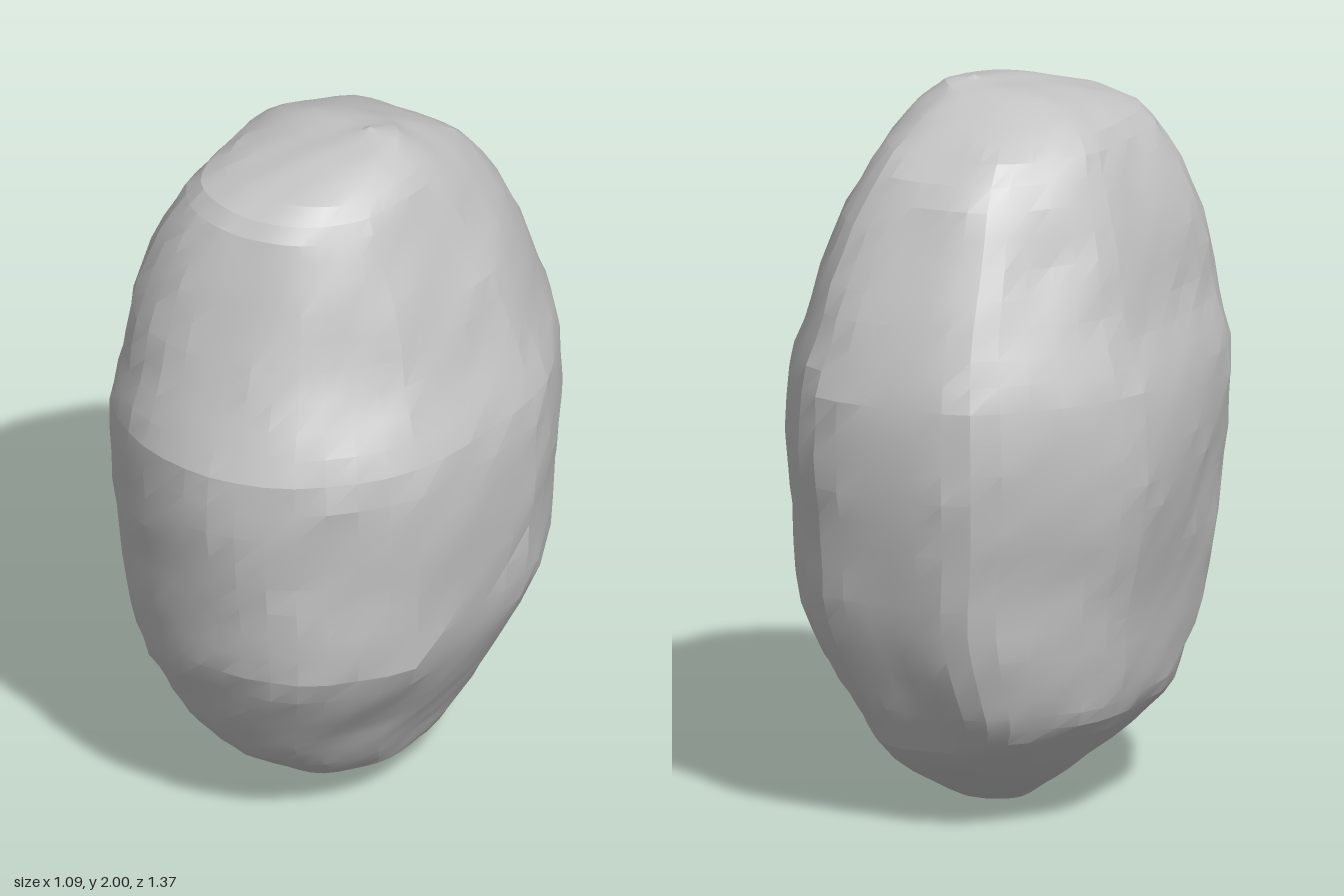
import * as THREE from 'three';
import { toCreasedNormals } from 'three/addons/utils/BufferGeometryUtils.js';

// Height, then the reach of the stone to -x, +x, -z and +z
const sections = [
  [0, -0.03, -0.03, 0, 0],
  [0.012, -0.07, 0.03, -0.08, 0.07],
  [0.04, -0.11, 0.11, -0.18, 0.16],
  [0.1, -0.2, 0.24, -0.29, 0.28],
  [0.2, -0.32, 0.3, -0.43, 0.42],
  [0.3, -0.415, 0.355, -0.49, 0.5],
  [0.42, -0.445, 0.42, -0.545, 0.56],
  [0.6, -0.47, 0.5, -0.61, 0.63],
  [0.8, -0.52, 0.53, -0.65, 0.66],
  [1.0, -0.55, 0.55, -0.68, 0.685],
  [1.22, -0.54, 0.54, -0.675, 0.68],
  [1.4, -0.48, 0.47, -0.62, 0.605],
  [1.6, -0.435, 0.41, -0.53, 0.525],
  [1.78, -0.37, 0.335, -0.435, 0.465],
  [1.9, -0.29, 0.275, -0.29, 0.39],
  [1.965, -0.14, 0.2, -0.15, 0.19],
  [1.99, 0.02, 0.16, -0.09, 0.05],
  [2, 0.09, 0.09, -0.02, -0.02],
];

// Plan outline, anticlockwise from the front when seen from above
const outline = [
  [0.04, 0.685], [0.27, 0.6], [0.4, 0.48], [0.5, 0.35], [0.53, 0.18], [0.555, 0],
  [0.555, -0.16], [0.52, -0.26], [0.4, -0.48], [0.28, -0.655], [0.18, -0.685],
  [0, -0.68], [-0.28, -0.63], [-0.4, -0.48], [-0.555, -0.22], [-0.53, 0],
  [-0.49, 0.14], [-0.45, 0.4], [-0.38, 0.52], [-0.06, 0.68],
];

// Shallow dents: centre x, y, z, radius, depth
const dents = [
  [0.32, 1.5, 0.4, 0.12, 0.018], [0.3, 0.95, 0.55, 0.12, 0.015], [-0.28, 0.35, 0.4, 0.12, 0.025],
  [0.33, 0.35, 0.3, 0.14, 0.015], [-0.46, 0.9, 0.35, 0.12, 0.018], [0.32, 1.7, -0.1, 0.12, 0.015],
  [-0.4, 0.7, -0.45, 0.13, 0.015], [-0.3, 1.6, -0.35, 0.12, 0.015],
];

// Broad and fine unevenness of the surface
function bump(p) {
  return 0.003 * Math.sin(9 * p.x + 5 * p.y + 1) * Math.sin(8 * p.z - 6 * p.y + 2)
    + 0.004 * Math.sin(17 * p.x - 11 * p.y) * Math.cos(15 * p.z + 13 * p.y)
    + 0.003 * Math.sin(31 * p.y + 19 * p.x) * Math.sin(29 * p.z + 23 * p.x) - 0.003;
}

// Softens a plan point halfway towards an even, slightly boxy oval
function soften(u) {
  const angle = Math.atan2(u.x, u.z), power = 2.15;
  const oval = (Math.abs(Math.sin(angle)) ** power + Math.abs(Math.cos(angle)) ** power) ** (-1 / power);
  return u.setLength((u.length() + oval) / 2);
}

// Fuller corners: two shoulders in the upper half, all four around the lower body
function shoulder(u, y) {
  const upper = Math.exp(-(((y - 1.62) / 0.3) ** 2));
  const lower = Math.exp(-(((y - 0.5) / 0.25) ** 2));
  return 1 + Math.max(0, -u.x * u.z) * upper * (u.x < 0 ? 0.26 : 0.12)
    + Math.abs(u.x * u.z) * lower * 0.09;
}

function buildStone(rows, columns) {
  const curves = [1, 2, 3, 4].map(i =>
    new THREE.SplineCurve(sections.map(s => new THREE.Vector2(s[i], s[0]))));
  const plan = new THREE.CatmullRomCurve3(
    outline.map(([x, z]) => new THREE.Vector3(x / 0.555, 0, z / 0.685)), true);
  const ring = plan.getSpacedPoints(columns).slice(0, columns).map(soften);
  const positions = [], index = [];
  const p = new THREE.Vector3(), out = new THREE.Vector3(), d = new THREE.Vector3();

  for (let r = 0; r <= rows; r++) {
    const [x0, x1, z0, z1] = curves.map(c => c.getPoint(r / rows));
    const isPole = r === 0 || r === rows;
    for (let c = 0; c < columns; c++) {
      const u = ring[c], wide = shoulder(u, x0.y);
      p.set((x0.x + x1.x) / 2 + wide * u.x * (x1.x - x0.x) / 2, x0.y,
        (z0.x + z1.x) / 2 + wide * u.z * (z1.x - z0.x) / 2);
      if (!isPole) {
        out.set(p.x / 0.31, p.y - 1, p.z / 0.47).normalize();
        let offset = bump(p);
        for (const [x, y, z, radius, depth] of dents) {
          offset -= depth * Math.exp(-d.set(x, y, z).distanceToSquared(p) / (radius * radius));
        }
        p.addScaledVector(out, offset);
        p.y = THREE.MathUtils.clamp(p.y, 0.002, 1.998);
      }
      positions.push(p.x, p.y, p.z);
    }
  }
  // Quads around the body, single triangles at the two poles
  for (let r = 0; r < rows; r++) {
    for (let c = 0; c < columns; c++) {
      const a = r * columns + c, b = r * columns + (c + 1) % columns;
      const e = a + columns, f = b + columns;
      if (r > 0) index.push(a, b, f);
      if (r < rows - 1) index.push(a, f, e);
    }
  }
  const geometry = new THREE.BufferGeometry();
  geometry.setAttribute('position', new THREE.Float32BufferAttribute(positions, 3));
  geometry.setIndex(index);
  return toCreasedNormals(geometry, 0.22);
}

export function createModel() {
  const stoneGrey = new THREE.MeshStandardMaterial({ color: 0xc4c4c4 });
  stoneGrey.name = 'stone grey';
  const group = new THREE.Group();
  group.name = 'boulder';
  const stone = new THREE.Mesh(buildStone(44, 44), stoneGrey);
  stone.name = 'stone';
  group.add(stone);
  return group;
}
